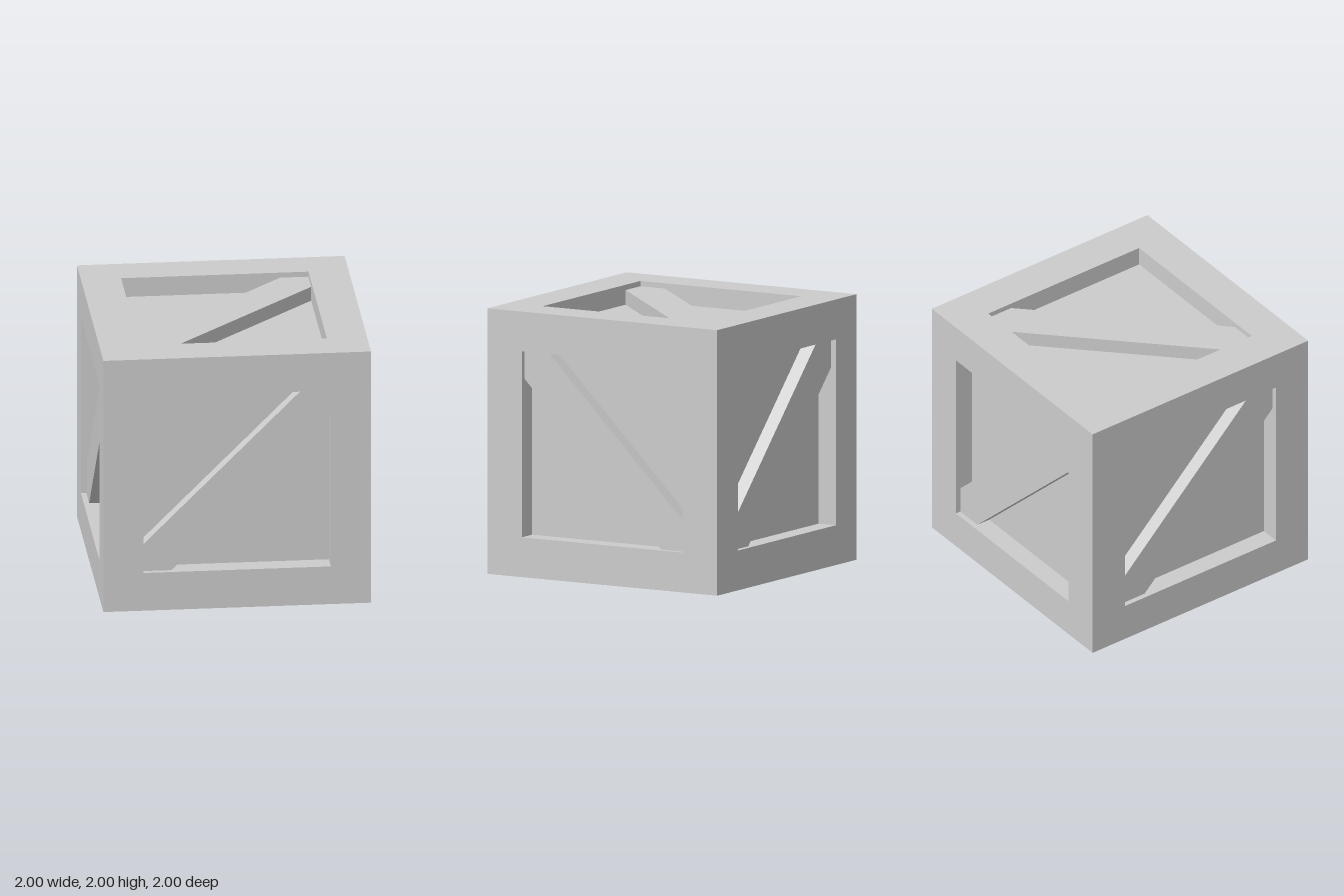
import * as THREE from 'three';

const BAR = 0.3;               // frame bar thickness
const SPAN = 2 - 2 * BAR;      // opening between posts
const MID = 1 - BAR / 2;       // centre line of the bars

const grey = new THREE.MeshStandardMaterial({ color: 0xcccccc, side: THREE.DoubleSide });
grey.name = 'light grey';

// Box without the listed faces (0..5 = +x, -x, +y, -y, +z, -z)
function openBox(w, h, d, skip = []) {
  const geometry = new THREE.BoxGeometry(w, h, d);
  const index = Array.from(geometry.index.array);
  geometry.setIndex(index.filter((_, i) => !skip.includes(Math.floor(i / 6))));
  geometry.clearGroups();
  return geometry;
}

function add(parent, name, geometry, x, y, z) {
  const mesh = new THREE.Mesh(geometry, grey);
  mesh.name = name;
  mesh.position.set(x, y, z);
  parent.add(mesh);
  return mesh;
}

// One side of the crate, built facing +z about the crate's centre
function makeSide(name, slant, isWall) {
  const side = new THREE.Group();
  side.name = name;
  add(side, 'panel', new THREE.PlaneGeometry(SPAN + 0.1, SPAN + 0.1), 0, 0, MID);
  const brace = add(side, 'diagonalBrace',
    new THREE.BoxGeometry(SPAN * Math.SQRT2, BAR, 0.11), 0, 0, MID + 0.055);
  brace.rotation.z = slant * Math.PI / 4;
  if (isWall) {
    add(side, 'topBar', openBox(SPAN, BAR, BAR, [0, 1]), 0, MID, MID);
    // the lower bar is open underneath and inside
    add(side, 'bottomBar', openBox(SPAN, BAR, BAR, [0, 1, 3, 5]), 0, -MID, MID);
  }
  return side;
}

export function createModel() {
  const crate = new THREE.Group();
  crate.name = 'crate';

  // Hollow corner posts, open at the foot
  for (const x of [-MID, MID]) {
    for (const z of [-MID, MID]) {
      add(crate, 'cornerPost', openBox(BAR, 2, BAR, [3]), x, 1, z);
    }
  }

  // Four walls
  const walls = [['frontSide', 1], ['leftSide', -1], ['backSide', 1], ['rightSide', 1]];
  walls.forEach(([name, slant], i) => {
    const wall = makeSide(name, slant, true);
    wall.rotation.y = i * Math.PI / 2;
    wall.position.y = 1;
    crate.add(wall);
  });

  // Lid
  const lid = makeSide('topSide', 1, false);
  lid.rotation.x = -Math.PI / 2;
  lid.position.y = 1;
  crate.add(lid);

  return crate;
}
